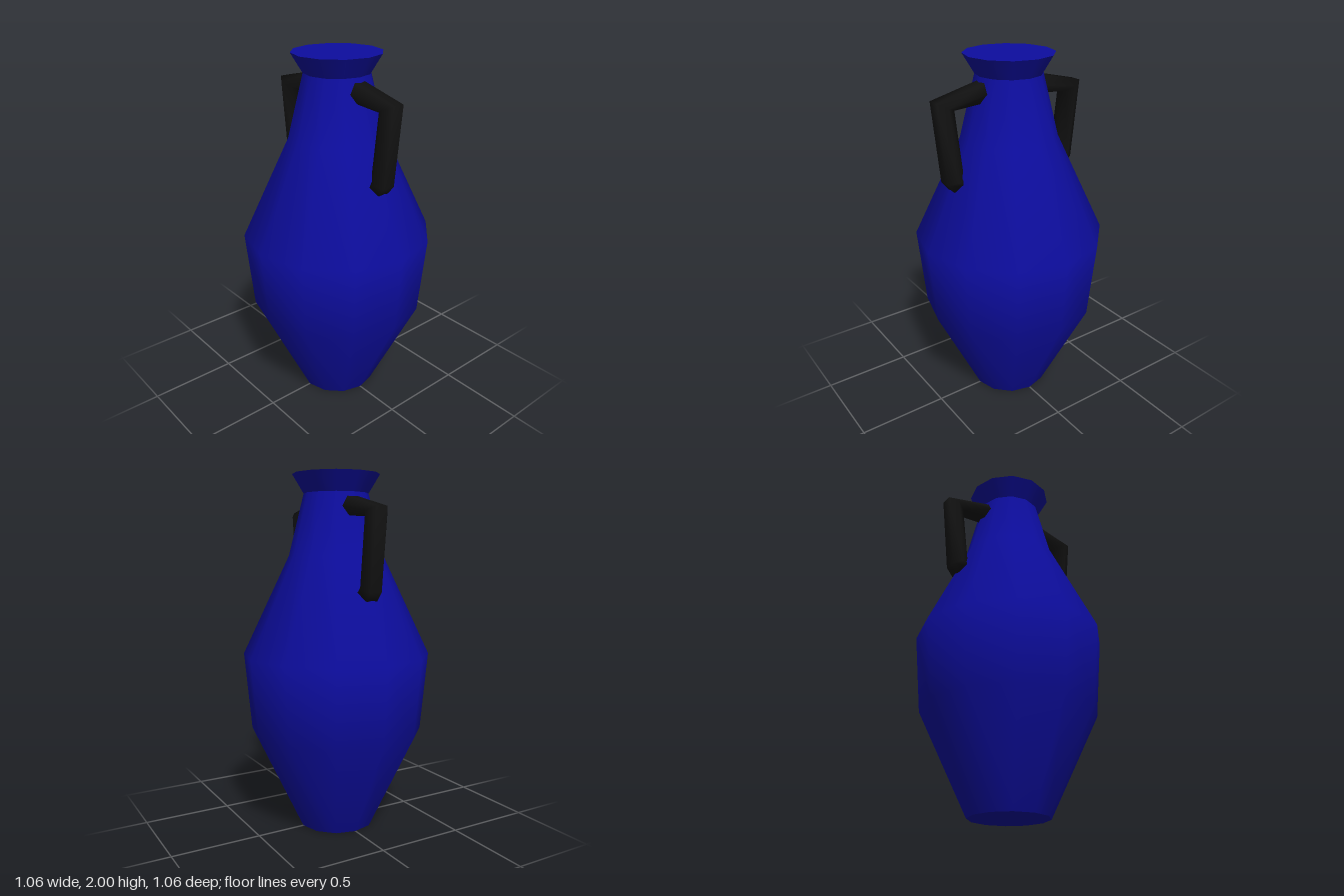
import * as THREE from 'three';

const SIDES = 12;
const blue = new THREE.MeshStandardMaterial({ color: 0x0d0d9f });
blue.name = 'deep blue glaze';
const black = new THREE.MeshStandardMaterial({ color: 0x111111 });
black.name = 'black handle';

function addMesh(parent, name, geometry, material) {
  const mesh = new THREE.Mesh(geometry, material);
  mesh.name = name;
  parent.add(mesh);
  return mesh;
}

const lathe = (profile) =>
  new THREE.LatheGeometry(profile.map(([r, y]) => new THREE.Vector2(r, y)), SIDES);

// Hexagonal bar lofted through sections given as [outer z, outer y, inner z, inner y]
function handleGeometry(sections, halfWidth) {
  const n = 6;
  const positions = [];
  const index = [];
  sections.forEach(([oz, oy, iz, iy], i) => {
    for (let j = 0; j < n; j++) {
      const a = (j / n) * Math.PI * 2;
      const t = 0.5 + 0.5 * Math.sin(a) / Math.sin(Math.PI / 3);
      positions.push(Math.cos(a) * halfWidth, iy + (oy - iy) * t, iz + (oz - iz) * t);
      if (i < sections.length - 1) {
        const p = i * n + j;
        const q = i * n + ((j + 1) % n);
        index.push(p, q, p + n, q, q + n, p + n);
      }
    }
  });
  // Close the ends
  const last = (sections.length - 1) * n;
  for (let j = 1; j < n - 1; j++) {
    index.push(0, j + 1, j, last, last + j, last + j + 1);
  }
  const geometry = new THREE.BufferGeometry();
  geometry.setAttribute('position', new THREE.Float32BufferAttribute(positions, 3));
  geometry.setIndex(index);
  geometry.computeVertexNormals();
  return geometry;
}

export function createModel() {
  const vase = new THREE.Group();
  vase.name = 'vase';

  // Body and flared lip, creased where they meet
  addMesh(vase, 'body', lathe([[0.22, 0], [0.49, 0.56], [0.53, 1], [0.265, 1.555], [0.18, 1.895]]), blue);
  addMesh(vase, 'lip', lathe([[0.18, 1.895], [0.243, 2]]), blue);

  // Flat closed top and base
  const top = addMesh(vase, 'top', new THREE.CircleGeometry(0.243, SIDES), blue);
  top.rotation.x = -Math.PI / 2;
  top.position.y = 2;
  const base = addMesh(vase, 'base', new THREE.CircleGeometry(0.22, SIDES), blue);
  base.rotation.x = Math.PI / 2;

  // Handles: from the neck out to a mitred corner, down, and into the shoulder
  const handle = handleGeometry([
    [0.15, 1.877, 0.15, 1.77],
    [0.453, 1.805, 0.354, 1.757],
    [0.409, 1.37, 0.312, 1.4],
    [0.37, 1.322, 0.28, 1.4],
  ], 0.068);
  addMesh(vase, 'frontHandle', handle, black);
  addMesh(vase, 'backHandle', handle, black).rotation.y = Math.PI;

  return vase;
}
